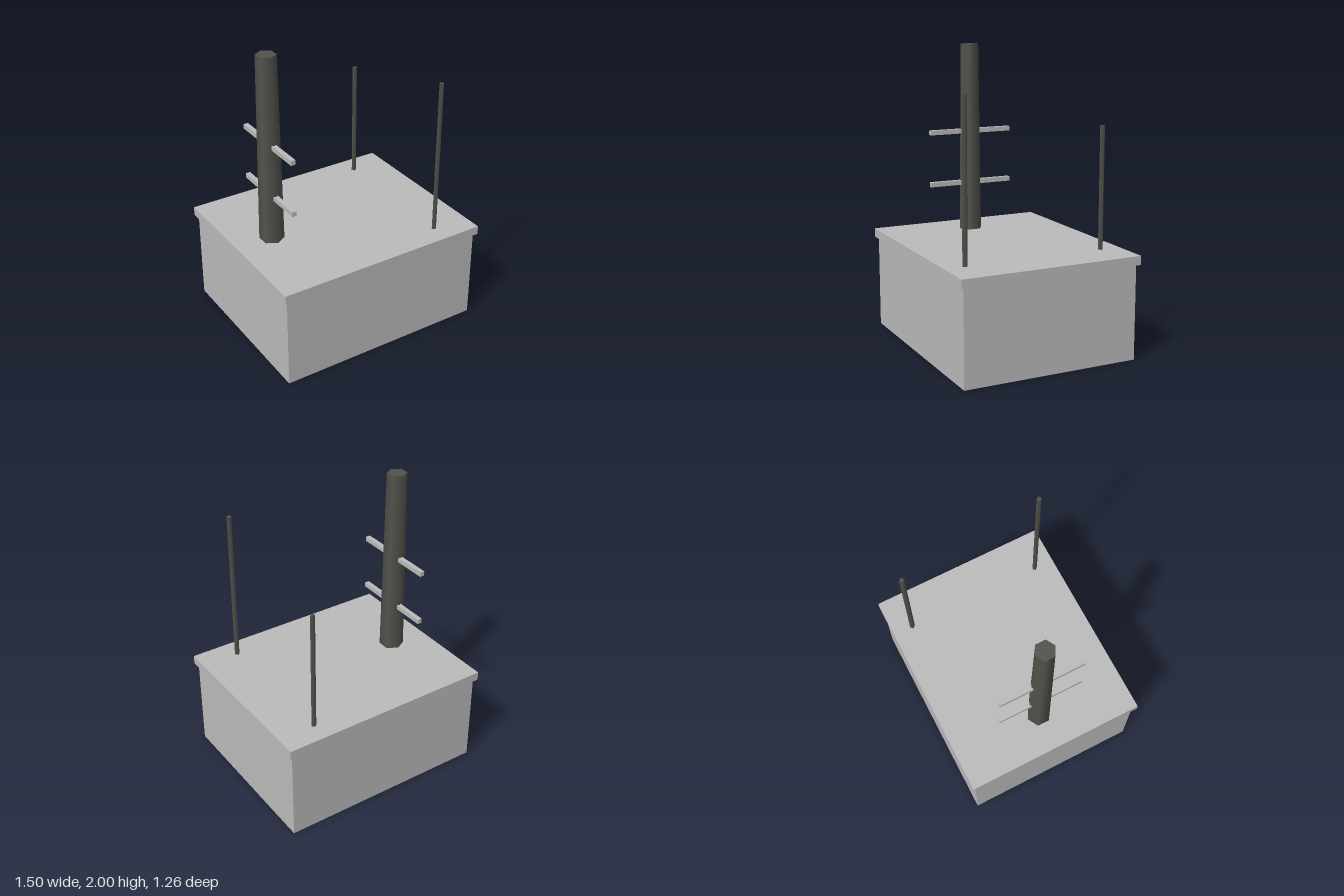
import * as THREE from 'three';

export function createModel() {
  const model = new THREE.Group();
  model.name = 'rooftopMast';
  const concrete = new THREE.MeshStandardMaterial({ name: 'light grey', color: 0xbcbcbc });
  const metal = new THREE.MeshStandardMaterial({ name: 'dark grey', color: 0x52534c });

  const add = (name, geometry, material, x, y, z) => {
    const mesh = new THREE.Mesh(geometry, material);
    mesh.name = name;
    mesh.position.set(x, y, z);
    model.add(mesh);
  };

  const roofY = 0.7;
  const mastX = -0.486;

  // Building block and overhanging roof slab
  add('base', new THREE.BoxGeometry(1.456, 0.67, 1.214), concrete, 0, 0.335, 0);
  add('roofSlab', new THREE.BoxGeometry(1.5, 0.06, 1.257), concrete, 0, roofY - 0.03, 0);

  // Tapered six-sided mast
  const mastHeight = 2 - roofY;
  add('mast', new THREE.CylinderGeometry(0.067, 0.083, mastHeight, 6), metal, mastX, roofY + mastHeight / 2, 0);

  // Crossbars through the mast
  for (const y of [1.032, 1.396]) {
    add('crossbar', new THREE.BoxGeometry(0.032, 0.032, 0.605), concrete, mastX, y, 0);
  }

  // Thin four-sided antennas, the front one taller
  for (const [z, top] of [[0.486, 1.76], [-0.486, 1.517]]) {
    const height = top - roofY;
    add('antenna', new THREE.CylinderGeometry(0.018, 0.018, height, 4), metal, 0.486, roofY + height / 2, z);
  }
  return model;
}
